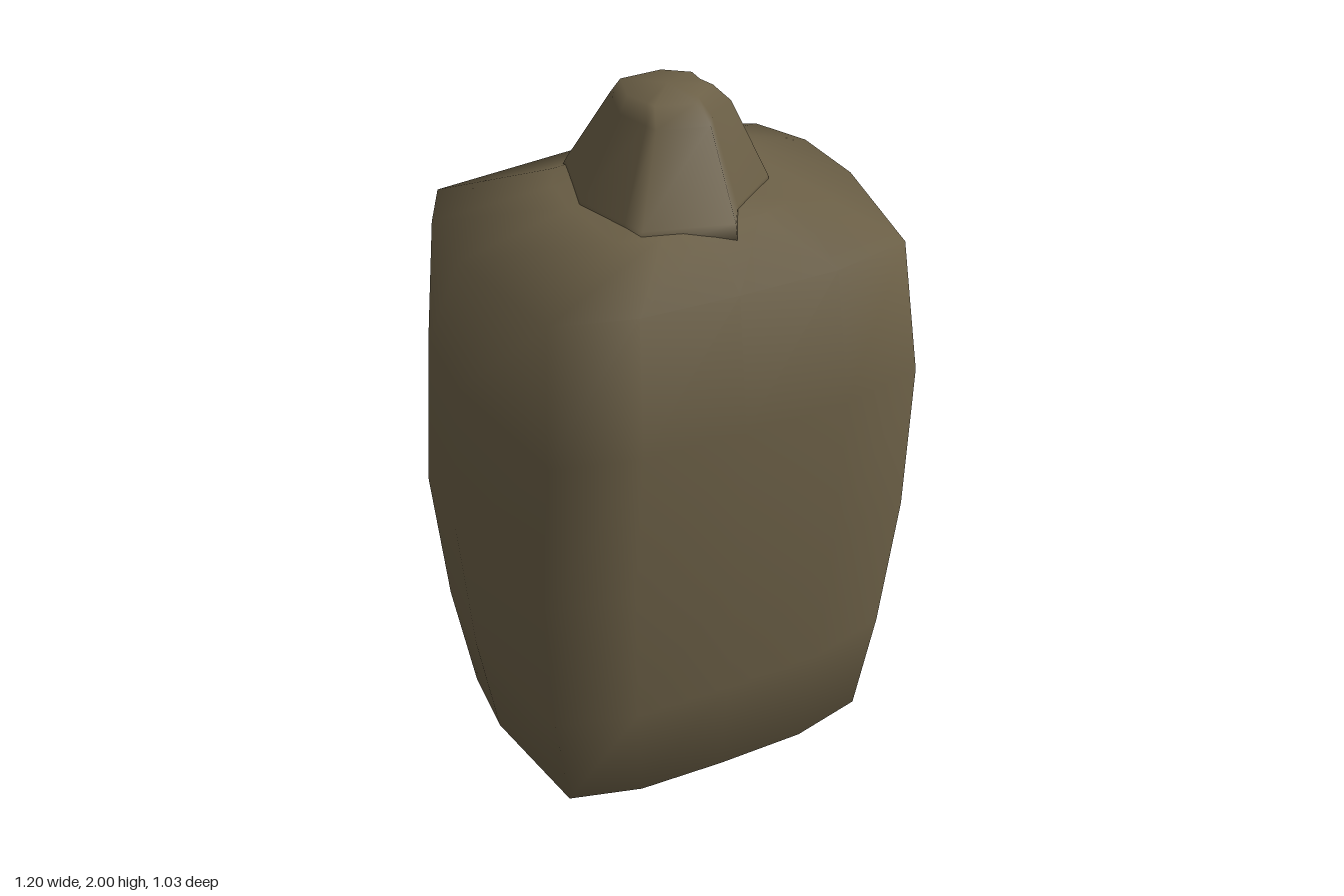
import * as THREE from 'three';

// Smooth closed loft: a plan outline scaled per level [y, scaleX, scaleZ, offsetX, offsetZ]
function loft(outline, levels, bottomY, topY) {
  const n = outline.length, pos = [], idx = [];
  for (const [y, sx, sz, ox = 0, oz = 0] of levels)
    for (const [x, z] of outline) pos.push(x * sx + ox, y, z * sz + oz);
  const last = levels.length - 1;
  const bottom = pos.length / 3, top = bottom + 1;
  pos.push(levels[0][3] ?? 0, bottomY, levels[0][4] ?? 0);
  pos.push(levels[last][3] ?? 0, topY, levels[last][4] ?? 0);
  for (let i = 0; i < n; i++) {
    const j = (i + 1) % n;
    for (let l = 0; l < last; l++) {
      const a = l * n, b = a + n;
      idx.push(a + i, b + i, a + j, a + j, b + i, b + j);
    }
    idx.push(bottom, i, j, top, last * n + j, last * n + i);
  }
  const g = new THREE.BufferGeometry();
  g.setAttribute('position', new THREE.Float32BufferAttribute(pos, 3));
  g.setIndex(idx);
  g.computeVertexNormals();
  return g;
}

export function createModel() {
  const model = new THREE.Group();
  const burlap = new THREE.MeshStandardMaterial({ color: 0x6b5f46 });
  burlap.name = 'burlap';
  const add = (name, geometry) => {
    const mesh = new THREE.Mesh(geometry, burlap);
    mesh.name = name;
    model.add(mesh);
  };

  // Stuffed sack body, a skewed rounded box bulging at mid height
  const bodyOutline = [
    [-0.6, -0.1], [-0.56, -0.28], [-0.09, -0.45], [0.2, -0.515], [0.42, -0.47],
    [0.53, -0.33], [0.59, -0.1], [0.6, 0.31], [0.38, 0.41], [0.1, 0.47],
    [-0.17, 0.515], [-0.4, 0.5], [-0.56, 0.13],
  ];
  add('sackBody', loft(bodyOutline, [
    [0.01, 0.48, 0.42, 0.01, 0.02],
    [0.1, 0.88, 0.86, 0.01],
    [0.45, 0.95, 0.97],
    [0.87, 1, 1],
    [1.3, 0.97, 0.98, 0.015, 0.01],
    [1.65, 0.9, 0.89, 0.01],
    [1.74, 0.45, 0.5, 0.03, 0.02],
  ], 0, 1.75));

  // Gathered neck with uneven folds around its foot
  const neckOutline = [
    [-0.24, 0.06], [-0.23, -0.18], [0.02, -0.25], [0.18, -0.17], [0.2, -0.06],
    [0.25, 0.04], [0.13, 0.18], [0.1, 0.27], [-0.13, 0.255], [-0.16, 0.2],
  ];
  add('sackNeck', loft(neckOutline, [
    [1.71, 1, 1, 0.03, 0.02],
    [1.75, 0.95, 0.93, 0.035, 0.02],
    [1.95, 0.55, 0.52, 0.04, 0.025],
    [1.99, 0.42, 0.38, 0.03, 0.02],
  ], 1.71, 2));

  return model;
}
